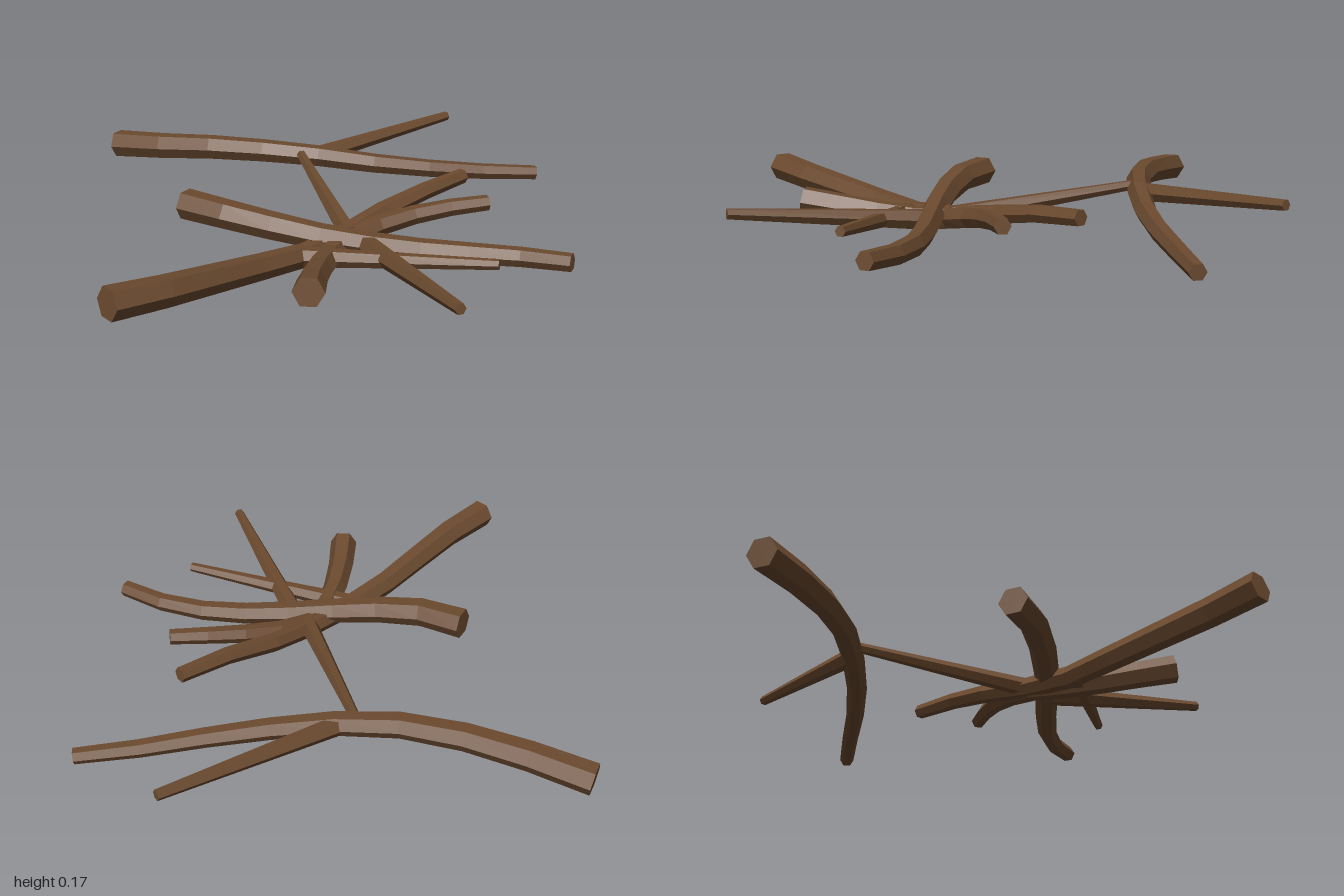
import * as THREE from 'three';

const SIDES = 6;

// Tapered six-sided stick swept along a smooth path, closed at both ends
function stickGeometry(points, r0, r1, steps) {
  const curve = new THREE.CatmullRomCurve3(points.map((p) => new THREE.Vector3(...p)));
  const up = new THREE.Vector3(0, 1, 0);
  const centres = [];
  const rings = [];
  for (let i = 0; i <= steps; i++) {
    const u = i / steps;
    const c = curve.getPointAt(u);
    const t = curve.getTangentAt(u);
    const side = new THREE.Vector3().crossVectors(up, t).normalize();
    const n = new THREE.Vector3().crossVectors(t, side);
    const r = r0 + (r1 - r0) * u;
    const ring = [];
    for (let j = 0; j < SIDES; j++) {
      const a = (j / SIDES) * Math.PI * 2;
      ring.push(c.clone().addScaledVector(side, r * Math.cos(a)).addScaledVector(n, r * Math.sin(a)));
    }
    centres.push(c);
    rings.push(ring);
  }
  const tris = [];
  for (let j = 0; j < SIDES; j++) {
    const k = (j + 1) % SIDES;
    for (let i = 0; i < steps; i++) {
      const a = rings[i][j], b = rings[i][k], c = rings[i + 1][k], d = rings[i + 1][j];
      tris.push(a, b, c, a, c, d);
    }
    tris.push(centres[0], rings[0][k], rings[0][j]);
    tris.push(centres[steps], rings[steps][j], rings[steps][k]);
  }
  const geometry = new THREE.BufferGeometry().setFromPoints(tris);
  geometry.computeVertexNormals();
  return geometry;
}

export function createModel() {
  const group = new THREE.Group();
  group.name = 'fallenSticks';
  const bark = new THREE.MeshStandardMaterial({ color: 0x6b4a2f, flatShading: true });
  bark.name = 'brown bark';

  const add = (name, points, r0, r1, steps) => {
    const mesh = new THREE.Mesh(stickGeometry(points, r0, r1, steps), bark);
    mesh.name = name;
    group.add(mesh);
  };

  // Curved branches, thick end first
  add('backBranch', [
    [0.02, 0.095, -0.96], [0.08, 0.115, -0.76], [0.16, 0.135, -0.56], [0.25, 0.14, -0.38],
    [0.36, 0.13, -0.22], [0.49, 0.105, -0.06], [0.66, 0.078, 0.11], [0.82, 0.058, 0.25], [0.96, 0.048, 0.38],
  ], 0.053, 0.027, 8);
  add('longBranch', [
    [-0.995, 0.135, 0.21], [-0.8, 0.115, 0.235], [-0.6, 0.09, 0.24], [-0.4, 0.065, 0.245],
    [-0.2, 0.052, 0.265], [0, 0.07, 0.27], [0.15, 0.095, 0.275], [0.33, 0.125, 0.31], [0.53, 0.14, 0.34],
  ], 0.053, 0.027, 8);
  add('frontBranch', [
    [-0.505, 0.1, 0.525], [-0.36, 0.072, 0.42], [-0.2, 0.052, 0.335], [-0.05, 0.06, 0.29],
    [0.1, 0.085, 0.335], [0.25, 0.112, 0.425], [0.395, 0.128, 0.54],
  ], 0.05, 0.027, 8);
  add('crossingBranch', [
    [-0.325, 0.137, -0.195], [-0.295, 0.133, -0.05], [-0.235, 0.115, 0.09], [-0.155, 0.09, 0.23],
    [-0.05, 0.068, 0.38], [0.06, 0.055, 0.53], [0.15, 0.055, 0.67], [0.21, 0.063, 0.8], [0.25, 0.077, 0.955],
  ], 0.053, 0.03, 8);

  // Straight side twigs
  add('backTwig', [[0.35, 0.125, -0.225], [0.99, 0.175, -0.065]], 0.034, 0.018, 1);
  add('linkingTwig', [[-0.04, 0.07, 0.29], [0.31, 0.14, -0.24]], 0.034, 0.018, 1);
  add('shortTwig', [[-0.25, 0.055, 0.27], [0.02, 0.11, 0.835]], 0.034, 0.017, 1);
  add('frontTwig', [[-0.05, 0.065, 0.36], [-0.355, 0.135, 0.955]], 0.037, 0.018, 1);

  return group;
}
